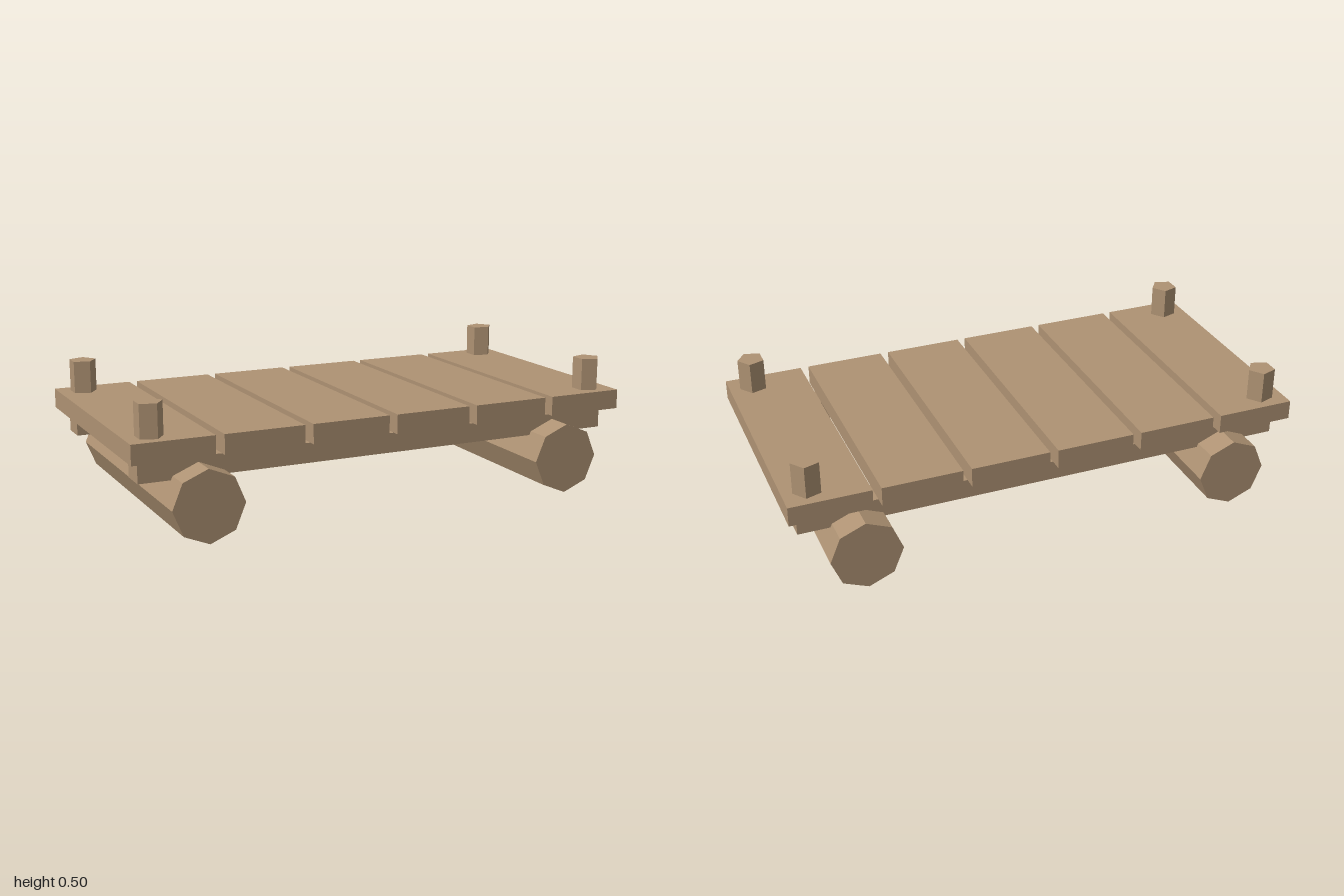
import * as THREE from 'three';

export function createModel() {
  const model = new THREE.Group();
  const wood = new THREE.MeshStandardMaterial({ color: 0xae9273, flatShading: true });
  wood.name = 'wood';

  const add = (name, geometry, x, y, z) => {
    const mesh = new THREE.Mesh(geometry, wood);
    mesh.name = name;
    mesh.position.set(x, y, z);
    model.add(mesh);
  };

  // Deck of six planks with narrow gaps
  const plankWidth = 0.306;
  const pitch = (2 - plankWidth) / 5;
  const plank = new THREE.BoxGeometry(plankWidth, 0.075, 0.98);
  for (let i = 0; i < 6; i++) add('plank', plank, (i - 2.5) * pitch, 0.3425, 0);

  // Long beams, octagonal floating logs and pentagonal corner posts
  const beam = new THREE.BoxGeometry(1.92, 0.075, 0.1);
  const log = new THREE.CylinderGeometry(0.136, 0.136, 1.06, 8).rotateX(Math.PI / 2);
  const post = new THREE.CylinderGeometry(0.053, 0.053, 0.125, 5, 1, false, Math.PI / 2);
  for (const side of [-1, 1]) {
    add('beam', beam, 0, 0.258, side * 0.378);
    add('log', log, side * 0.737, 0.139, 0);
    for (const end of [-1, 1]) add('cornerPost', post, end * 0.907, 0.442, side * 0.406);
  }
  return model;
}
